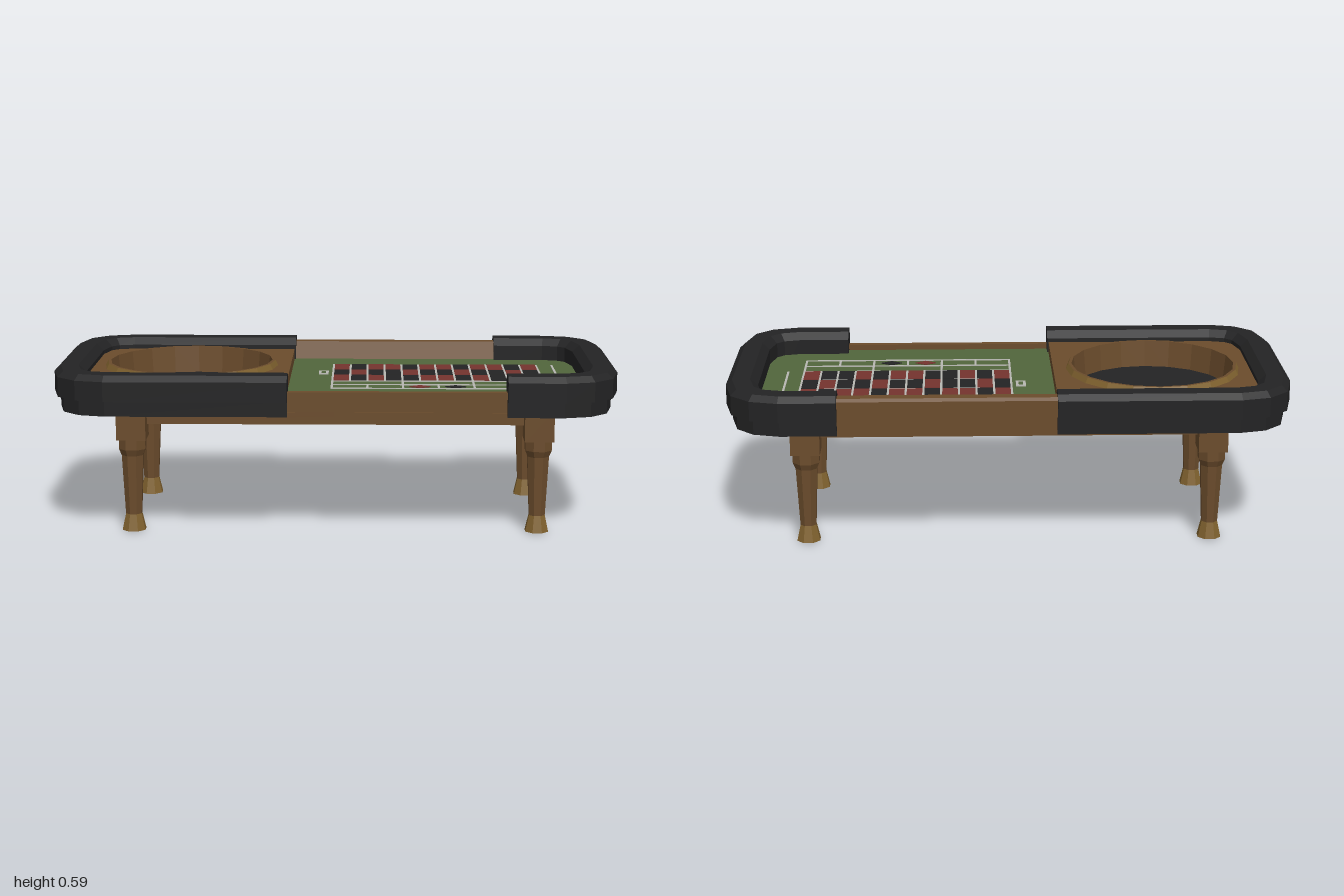
import * as THREE from 'three';

const mat = (name, color) => {
  const m = new THREE.MeshStandardMaterial({ color });
  m.name = name;
  return m;
};

// Plan outline of one rounded table end (side 1 = +x, -1 = -x), inset inward, cut at x0
function endPath(side, x0, inset) {
  const half = [[side * x0, 0.467], [0.8, 0.467], [0.9, 0.44], [0.97, 0.37], [1, 0.24]];
  const pts = [...half, ...half.map(([x, z]) => [x, -z]).reverse()].map(([x, z]) => new THREE.Vector2(x, z));
  const normals = pts.slice(1).map((p, i) => {
    const d = p.clone().sub(pts[i]).normalize();
    return new THREE.Vector2(d.y, -d.x);
  });
  const out = pts.map((p, i) => {
    const a = normals[Math.max(i - 1, 0)], b = normals[Math.min(i, normals.length - 1)];
    const miter = a.clone().add(b).divideScalar(1 + a.dot(b));
    return p.clone().addScaledVector(miter, inset);
  });
  return side > 0 ? out : out.map(p => new THREE.Vector2(-p.x, p.y)).reverse();
}

// Flat facets
function flat(geo) {
  const g = geo.index ? geo.toNonIndexed() : geo;
  g.computeVertexNormals();
  return g;
}

// Sweep a closed (inset, height) profile around a table end, with capped ends
function sweepEnd(side, x0, profile) {
  const rings = profile.map(([d, y]) => endPath(side, x0, d).map(p => [p.x, y, p.y]));
  const mid = endPath(side, x0, 0.06).map(p => [p.x, 0.5, p.y]);
  const n = mid.length, pos = [];
  const tri = (...v) => v.forEach(p => pos.push(...p));
  rings.forEach((ring, j) => {
    const next = rings[(j + 1) % rings.length];
    for (let i = 0; i < n - 1; i++) {
      tri(ring[i], ring[i + 1], next[i + 1]);
      tri(ring[i], next[i + 1], next[i]);
    }
    tri(mid[0], ring[0], next[0]);
    tri(mid[n - 1], next[n - 1], ring[n - 1]);
  });
  const g = new THREE.BufferGeometry();
  g.setAttribute('position', new THREE.Float32BufferAttribute(pos, 3));
  return flat(g);
}

// Horizontal slab from a plan outline, between two heights
function slab(points, y0, y1, hole) {
  const shape = new THREE.Shape(points.map(p => new THREE.Vector2(p.x, -p.y)));
  if (hole) shape.holes.push(hole);
  const g = new THREE.ExtrudeGeometry(shape, { depth: y1 - y0, bevelEnabled: false, curveSegments: 20 });
  return g.rotateX(-Math.PI / 2).translate(0, y0, 0);
}

export function createModel() {
  const root = new THREE.Group();
  root.name = 'gamingTable';
  const wood = mat('brown wood', 0x6b4c2c);
  const brass = mat('golden wood', 0x80622f);
  const black = mat('black leather', 0x232324);
  const green = mat('green felt', 0x52663c);
  const red = mat('red print', 0x75332e);
  const white = mat('white print', 0xb8b8b2);

  const add = (parent, name, geo, material) => {
    const m = new THREE.Mesh(geo, material);
    m.name = name;
    parent.add(m);
    return m;
  };
  const box = (parent, name, material, x0, x1, y0, y1, z0, z1) => add(parent, name,
    new THREE.BoxGeometry(x1 - x0, y1 - y0, z1 - z0)
      .translate((x0 + x1) / 2, (y0 + y1) / 2, (z0 + z1) / 2), material);

  // Padded rails around both ends
  const rail = [[0.02, 0.445], [0.02, 0.5], [0, 0.5], [0, 0.57], [0.022, 0.59],
    [0.085, 0.59], [0.112, 0.565], [0.112, 0.445]];
  add(root, 'wheelEndRail', sweepEnd(-1, -0.163, rail), black);
  add(root, 'feltEndRail', sweepEnd(1, 0.6, rail), black);

  // Table bed, felt and raised wheel deck
  add(root, 'tableBottom', slab([...endPath(1, 0, 0.03), ...endPath(-1, 0, 0.03)], 0.444, 0.46), wood);
  add(root, 'felt', slab(endPath(1, -0.18, 0.06), 0.458, 0.51), green);
  const wheelX = -0.532;
  const hole = new THREE.Path().absarc(wheelX, 0, 0.302, 0, Math.PI * 2, true);
  add(root, 'wheelDeck', slab(endPath(-1, -0.168, 0.06), 0.458, 0.55, hole), wood);

  // Wooden side rails: low at the front, tall and sloped at the back
  box(root, 'frontSideRail', wood, -0.18, 0.62, 0.446, 0.53, 0.405, 0.432);
  const backShape = new THREE.Shape([[0.44, 0.446], [0.44, 0.565], [0.43, 0.575], [0.39, 0.575], [0.366, 0.5], [0.366, 0.446]]
    .map(([z, y]) => new THREE.Vector2(z, y)));
  add(root, 'backSideRail', new THREE.ExtrudeGeometry(backShape, { depth: 0.8, bevelEnabled: false })
    .rotateY(Math.PI / 2).translate(-0.18, 0, 0), wood);

  // Sunken wheel bowl
  const lathe = pts => flat(new THREE.LatheGeometry(pts.map(p => new THREE.Vector2(...p)), 20));
  const bowl = new THREE.Group();
  bowl.name = 'wheelBowl';
  bowl.position.x = wheelX;
  add(bowl, 'bowlRim', lathe([[0.318, 0.549], [0.308, 0.57]]), brass);
  add(bowl, 'bowlWall', lathe([[0.308, 0.57], [0.297, 0.57], [0.287, 0.465]]), wood);
  add(bowl, 'bowlFloor', new THREE.CylinderGeometry(0.292, 0.292, 0.008, 20).translate(0, 0.468, 0), black);
  root.add(bowl);

  // Printed layout on the felt
  const layout = new THREE.Group();
  layout.name = 'feltLayout';
  root.add(layout);
  const plate = (name, m, x0, x1, z0, z1, top = 0.513) => box(layout, name, m, x0, x1, 0.509, top, z0, z1);
  const gx = -0.013, gw = 0.7635, cell = gw / 12, rowZ = [-0.225, -0.113, -0.001];
  plate('numberGrid', white, gx - 0.004, gx + gw + 0.004, -0.229, 0.115);
  ['RBRRBRRBRRBR', 'BRBBRBBRBBRB', 'RBRBBRRBRBBR'].forEach((row, r) => [...row].forEach((c, i) => {
    const x = gx + i * cell;
    plate('numberCell', c === 'R' ? red : black, x + 0.004, x + cell - 0.004, rowZ[r] + 0.004, rowZ[r] + 0.107, 0.515);
  }));
  const lineX = (z, x0, x1) => plate('printLine', white, x0, x1, z - 0.004, z + 0.004);
  const lineZ = (x, z0, z1) => plate('printLine', white, x - 0.004, x + 0.004, z0, z1);
  for (const z of [0.18, 0.254]) lineX(z, gx - 0.004, gx + gw + 0.004);
  for (let i = 0; i <= 6; i++) lineZ(gx + i * gw / 6, i % 2 ? 0.18 : 0.11, 0.254);
  lineZ(0.81, -0.227, 0.112);

  // Small zero box
  plate('zeroBox', white, -0.066, -0.03, -0.09, -0.028);
  plate('zeroBoxCentre', green, -0.056, -0.04, -0.074, -0.044, 0.515);

  // Colour diamonds
  [[0.302, red], [0.43, black]].forEach(([x, m]) => {
    const d = [[-0.038, 0], [0, 0.024], [0.038, 0], [0, -0.024]].map(([a, b]) => new THREE.Vector2(x + a, 0.217 + b));
    add(layout, 'diamond', slab(d, 0.509, 0.513), m);
  });

  // Underframe and four octagonal legs
  box(root, 'apron', wood, -0.71, 0.71, 0.385, 0.45, -0.28, 0.28);
  const octagon = (rTop, rBottom, y0, y1) => {
    const k = 1 / Math.cos(Math.PI / 8);
    return flat(new THREE.CylinderGeometry(rTop * k, rBottom * k, y1 - y0, 8)
      .rotateY(Math.PI / 8).translate(0, (y0 + y1) / 2, 0));
  };
  for (const sx of [-1, 1]) for (const sz of [-1, 1]) {
    const leg = new THREE.Group();
    leg.name = `${sz > 0 ? 'front' : 'back'}${sx > 0 ? 'Left' : 'Right'}Leg`;
    leg.position.set(sx * 0.722, 0, sz * 0.281);
    box(leg, 'legBlock', wood, -0.052, 0.052, 0.335, 0.45, -0.052, 0.052);
    add(leg, 'legCollar', octagon(0.047, 0.047, 0.298, 0.335), wood);
    add(leg, 'legTaper', octagon(0.047, 0.038, 0.275, 0.298), wood);
    add(leg, 'legShaft', octagon(0.038, 0.028, 0.06, 0.275), wood);
    add(leg, 'foot', octagon(0.028, 0.041, 0, 0.06), brass);
    root.add(leg);
  }
  return root;
}
